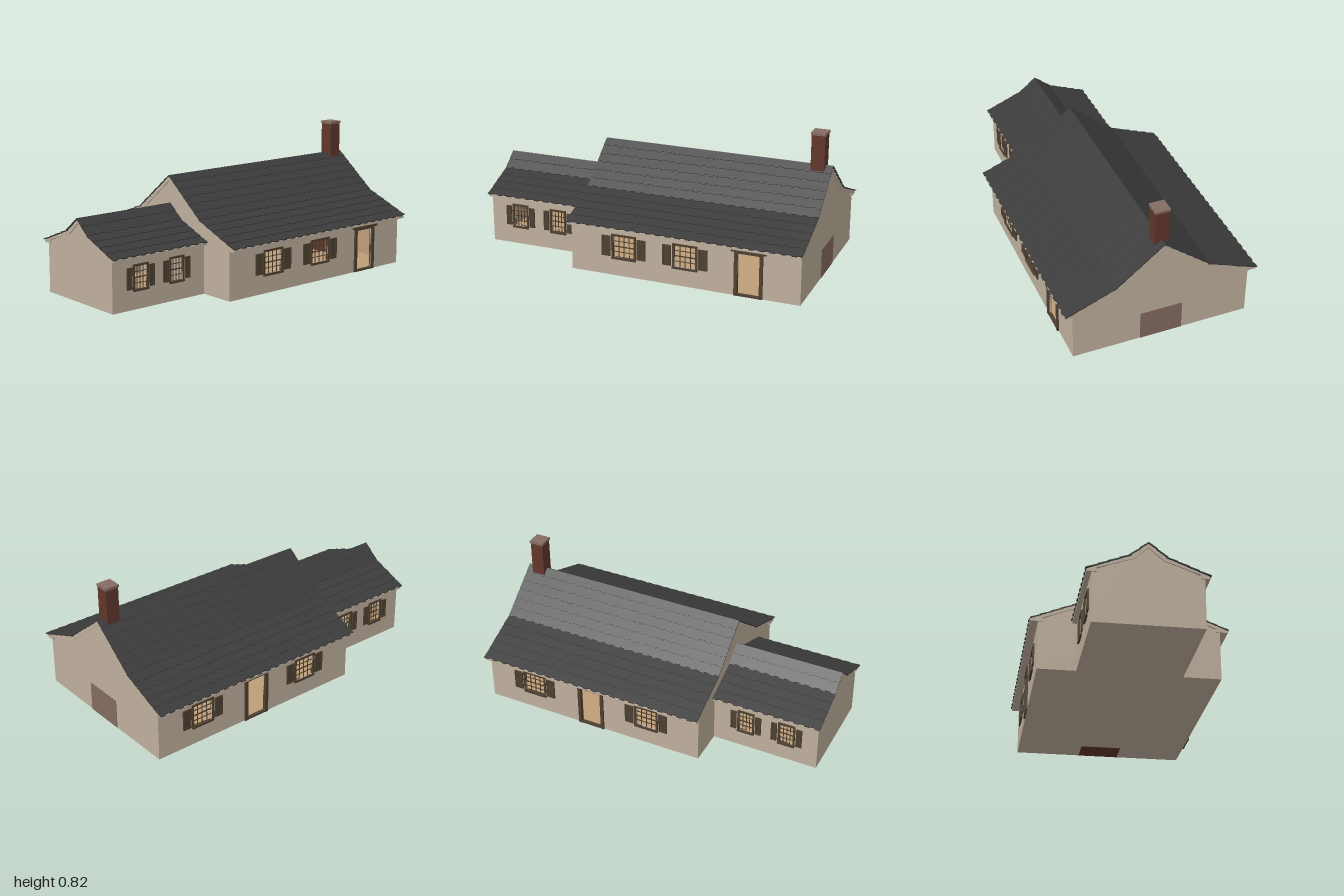
import * as THREE from 'three';
import { mergeGeometries } from 'three/addons/utils/BufferGeometryUtils.js';

const mat = (name, color) => Object.assign(new THREE.MeshStandardMaterial({ color }), { name });

export function createModel() {
  const wallMat = mat('plaster', 0xbfb09d);
  const roofMat = mat('roof slate', 0x3b3b3b);
  const woodMat = mat('dark wood', 0x4e4031);
  const brickMat = mat('brick', 0x61362c);
  const stoneMat = mat('stone', 0x846b62);
  const roomMat = mat('interior', 0xbf9e78);
  const model = new THREE.Group();
  model.name = 'cottage';

  const add = (parent, name, geo, material) => {
    const m = new THREE.Mesh(geo, material);
    m.name = name;
    parent.add(m);
    return m;
  };
  // box given by its limits
  const boxGeo = (x0, x1, y0, y1, z0, z1) =>
    new THREE.BoxGeometry(x1 - x0, y1 - y0, z1 - z0).translate((x0 + x1) / 2, (y0 + y1) / 2, (z0 + z1) / 2);
  // [z, y] outline extruded along x
  const alongX = (pts, x0, x1) => {
    const s = new THREE.Shape(pts.map(([z, y]) => new THREE.Vector2(-z, y)));
    return new THREE.ExtrudeGeometry(s, { depth: x1 - x0, bevelEnabled: false })
      .rotateY(Math.PI / 2).translate(x0, 0, 0);
  };
  const mirrorZ = pts => pts.map(([z, y]) => [-z, y]).reverse();

  // wall panel with openings, in a frame whose +z points outward
  function panel(x0, x1, y0, y1, z, depth, openings) {
    const s = new THREE.Shape();
    s.moveTo(x0, y0).lineTo(x1, y0).lineTo(x1, y1).lineTo(x0, y1).closePath();
    for (const o of openings) {
      const h = new THREE.Path(), a = o.x - o.w / 2, b = o.x + o.w / 2;
      h.moveTo(a, o.y0).lineTo(a, o.y1).lineTo(b, o.y1).lineTo(b, o.y0).closePath();
      s.holes.push(h);
    }
    return new THREE.ExtrudeGeometry(s, { depth, bevelEnabled: false }).translate(0, 0, z - depth);
  }

  // frame, glazing bars and a pair of shutters
  function addWindow(g, o, z, shutterW) {
    const a = o.x - o.w / 2, b = o.x + o.w / 2, { y0, y1 } = o, f = 0.011;
    const parts = [
      boxGeo(a - f, a, y0 - f, y1 + f, z - 0.012, z + 0.007),
      boxGeo(b, b + f, y0 - f, y1 + f, z - 0.012, z + 0.007),
      boxGeo(a, b, y1, y1 + f, z - 0.012, z + 0.007),
      boxGeo(a - f, b + f, y0 - f, y0, z - 0.012, z + 0.01)];
    for (let i = 1; i < 4; i++) {
      const x = a + o.w * i / 4, y = y0 + (y1 - y0) * i / 4, t = i === 2 ? 0.003 : 0.0016;
      parts.push(boxGeo(x - 0.0016, x + 0.0016, y0, y1, z - 0.007, z - 0.002));
      parts.push(boxGeo(a, b, y - t, y + t, z - 0.007, z - 0.002));
    }
    add(g, 'windowFrame', mergeGeometries(parts), woodMat);
    const shutters = [];
    for (const s of [-1, 1]) {
      const c = o.x + s * (o.w / 2 + f + 0.007 + shutterW / 2), h = shutterW / 2;
      shutters.push(boxGeo(c - h, c + h, y0 + 0.003, y1 - 0.003, z, z + 0.005));
      for (const y of [y0 + 0.003, (y0 + y1) / 2 - 0.005, y1 - 0.013])
        shutters.push(boxGeo(c - h, c + h, y, y + 0.01, z, z + 0.008));
      for (const e of [-1, 1])
        shutters.push(boxGeo(c + e * (h - 0.004) - 0.004, c + e * (h - 0.004) + 0.004, y0 + 0.003, y1 - 0.003, z, z + 0.008));
    }
    add(g, 'shutters', mergeGeometries(shutters), woodMat);
  }

  // open doorway with jambs and optional wide header
  function addDoor(g, o, z) {
    const a = o.x - o.w / 2, b = o.x + o.w / 2, f = 0.019, e = o.header ? 0.037 : 0.02;
    add(g, 'doorFrame', mergeGeometries([
      boxGeo(a - f, a, 0.002, o.y1 + 0.01, z - 0.012, z + 0.01),
      boxGeo(b, b + f, 0.002, o.y1 + 0.01, z - 0.012, z + 0.01),
      boxGeo(a, b, o.y1, o.y1 + 0.01, z - 0.012, z + 0.01),
      boxGeo(a, b, 0.002, 0.012, z - 0.012, z + 0.008),
      boxGeo(a - e, b + e, o.y1 + 0.01, o.y1 + 0.03, z - 0.005, z + (o.header ? 0.015 : 0.011))]), woodMat);
  }

  // long wall with its lining, windows and doors; side -1 is the back
  function longWall(house, side, x0, x1, z, openings, shutterW) {
    const g = new THREE.Group();
    g.name = side > 0 ? 'frontWall' : 'backWall';
    g.rotation.y = side > 0 ? 0 : Math.PI;
    const [a, b] = side > 0 ? [x0, x1] : [-x1, -x0];
    const list = openings.map(o => ({ ...o, x: o.x * side }));
    add(g, 'plasterWall', panel(a, b, 0.001, 0.295, z, 0.01, list), wallMat);
    add(g, 'wallLining', panel(a + 0.01, b - 0.01, 0.001, 0.285, z - 0.01, 0.004, list), roomMat);
    for (const o of list) o.door ? addDoor(g, o, z) : addWindow(g, o, z, shutterW);
    house.add(g);
  }

  // courses of staggered slates on one side, profile runs eave -> kink -> ridge
  function slates(profile, rows, x0, x1) {
    const parts = [], n = Math.round((x1 - x0) / 0.03), w = (x1 - x0) / n;
    for (let s = 0; s < 2; s++) {
      const [zl, yl] = profile[s], [zh, yh] = profile[s + 1];
      const slope = Math.atan2(yh - yl, zl - zh), step = Math.hypot(yh - yl, zl - zh) / rows[s];
      for (let r = 0; r < rows[s]; r++) for (let i = 0; i < n; i++) {
        const cut = (i + r) % 2 ? 0.006 : 0, top = s === 1 && r === rows[s] - 1 ? step : step * 1.12;
        parts.push(new THREE.BoxGeometry(w, 0.006, top - cut)
          .translate(0, 0, -(top + cut) / 2)
          .rotateX(slope - 0.06)
          .translate(x0 + (i + 0.5) * w, yl + (yh - yl) * r / rows[s], zl + (zh - zl) * r / rows[s]));
      }
    }
    return mergeGeometries(parts);
  }

  // one gabled block: walls, gables, deck with eaves and slated roof
  function house(p) {
    const g = new THREE.Group();
    g.name = p.name;
    const { x0, x1, z, eave, kink, ridge } = p;
    longWall(g, 1, x0, x1, z, p.front, p.shutterW);
    longWall(g, -1, x0, x1, z, p.back, p.shutterW);
    const half = [[z, 0.001], [z, 0.29], [kink[0] - 0.01, kink[1] - 0.015], [0, ridge - 0.02]];
    const gable = [...half, ...mirrorZ(half.slice(0, 3))];
    for (const x of p.gables) {
      add(g, 'gableWall', alongX(gable, x, x + 0.01), wallMat);
      const l = x < (x0 + x1) / 2 ? x + 0.01 : x - 0.003;
      add(g, 'gableLining', boxGeo(l, l + 0.003, 0.005, 0.285, -z + 0.014, z - 0.014), roomMat);
    }
    // deck, soffit and rake boards in one section
    const top = [[eave - 0.006, 0.283], [eave - 0.006, 0.296], [kink[0], kink[1] - 0.005], [0, ridge - 0.006]];
    const under = [[kink[0] - 0.018, kink[1] - 0.02], [z - 0.025, 0.305], [z - 0.025, 0.283]];
    const deck = [...top, ...mirrorZ(top.slice(0, 3)), ...under.map(([a, y]) => [-a, y]).reverse(),
      [0, ridge - 0.031], ...under];
    add(g, 'roofDeck', alongX(deck, p.deck[0], p.deck[1]), wallMat);
    const slateGeo = slates([[eave, 0.3], kink, [0, ridge]], p.rows, p.roof[0], p.roof[1]);
    add(g, 'frontSlates', slateGeo, roofMat);
    add(g, 'backSlates', slateGeo.clone().scale(-1, 1, 1).rotateY(Math.PI).scale(1, 1, 1), roofMat);
    g.children.at(-1).geometry = slateGeo.clone().rotateY(Math.PI).translate(p.roof[0] + p.roof[1], 0, 0);
    // ground slab, room floor and ceiling
    add(g, 'groundSlab', boxGeo(x0, x1, 0.001, 0.006, -z, z), wallMat);
    add(g, 'roomFloor', boxGeo(x0 + 0.01, x1 - 0.01, 0.006, 0.009, -z + 0.012, z - 0.012), roomMat);
    add(g, 'ceiling', boxGeo(x0 + 0.01, x1 - 0.01, 0.282, 0.286, -z + 0.012, z - 0.012), roomMat);
    model.add(g);
  }

  const win = (x, w) => ({ x, w, y0: 0.112, y1: 0.238 });
  const door = (x, header) => ({ x, w: 0.125, y0: 0.008, y1: 0.25, door: true, header });

  house({
    name: 'mainHouse', x0: -0.36, x1: 0.985, z: 0.51, eave: 0.56, kink: [0.27, 0.415], ridge: 0.63,
    gables: [-0.36, 0.975], deck: [-0.366, 0.991], roof: [-0.37, 1], rows: [5, 6], shutterW: 0.052,
    front: [win(-0.04, 0.125), win(0.325, 0.125), door(0.692, true)],
    back: [win(-0.035, 0.125), door(0.32, false), win(0.692, 0.125)]
  });
  house({
    name: 'wing', x0: -0.985, x1: -0.36, z: 0.295, eave: 0.327, kink: [0.1, 0.39], ridge: 0.472,
    gables: [-0.985], deck: [-0.992, -0.36], roof: [-1, -0.36], rows: [4, 2], shutterW: 0.034,
    front: [win(-0.8, 0.08), win(-0.555, 0.08)],
    back: [win(-0.8, 0.08), win(-0.555, 0.08)]
  });

  // room partition behind the first main window
  add(model, 'partition', boxGeo(-0.11, 0.005, 0.009, 0.282, -0.005, 0.005), roomMat);

  // hearth, its outer slab, and the chimney stack
  add(model, 'hearth', boxGeo(0.815, 0.984, 0, 0.175, -0.122, 0.122), brickMat);
  add(model, 'hearthSlab', boxGeo(0.98, 0.988, 0.002, 0.175, -0.122, 0.122), stoneMat);
  add(model, 'chimney', boxGeo(0.88, 0.958, 0.175, 0.806, -0.039, 0.039), brickMat);
  add(model, 'chimneyCap', boxGeo(0.876, 0.962, 0.805, 0.82, -0.043, 0.043), stoneMat);
  return model;
}
